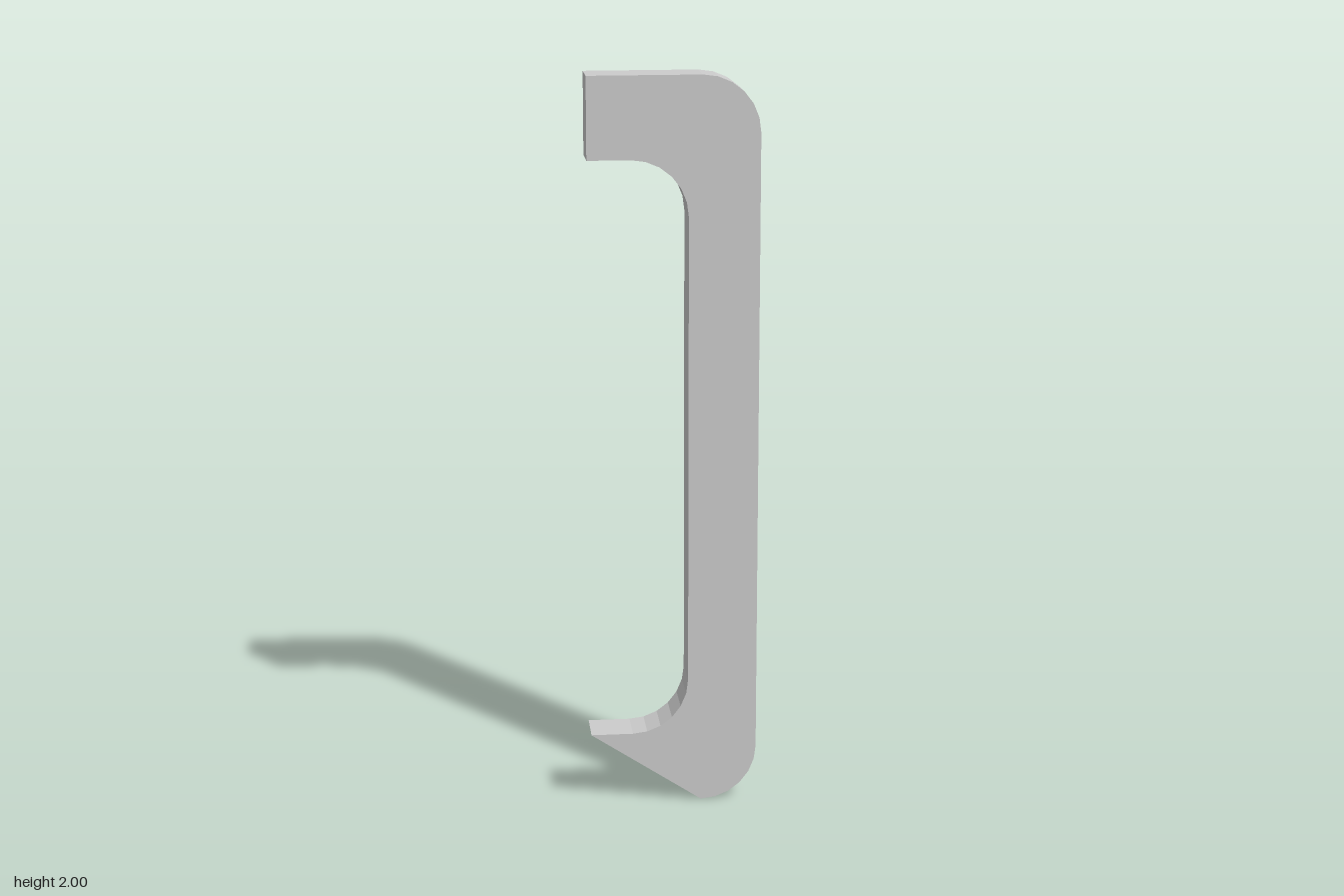
import * as THREE from 'three';

export function createModel() {
  const group = new THREE.Group();
  group.name = 'pullHandle';
  const material = new THREE.MeshStandardMaterial({ color: 0xcccccc, flatShading: true });

  const halfWidth = 0.227, height = 2, depth = 0.113, radius = 0.152;
  const innerX = 0.039, innerBottom = 0.2, innerTop = 1.782;
  const q = Math.PI / 2;

  // C-shaped side profile: rounded outer corners, filleted inner corners
  const profile = new THREE.Shape();
  profile.moveTo(-halfWidth, 0);
  profile.absarc(halfWidth - radius, radius, radius, -q, 0, false);
  profile.absarc(halfWidth - radius, height - radius, radius, 0, q, false);
  profile.lineTo(-halfWidth, height);
  profile.lineTo(-halfWidth, innerTop);
  profile.absarc(innerX - radius, innerTop - radius, radius, q, 0, true);
  profile.absarc(innerX - radius, innerBottom + radius, radius, 0, -q, true);
  profile.lineTo(-halfWidth, innerBottom);
  profile.closePath();

  // Arcs are sampled at twice curveSegments: six facets per corner
  const geometry = new THREE.ExtrudeGeometry(profile, {
    depth, bevelEnabled: false, curveSegments: 3,
  });
  geometry.translate(0, 0, -depth / 2);

  const handle = new THREE.Mesh(geometry, material);
  handle.name = 'handleBar';
  group.add(handle);
  return group;
}
